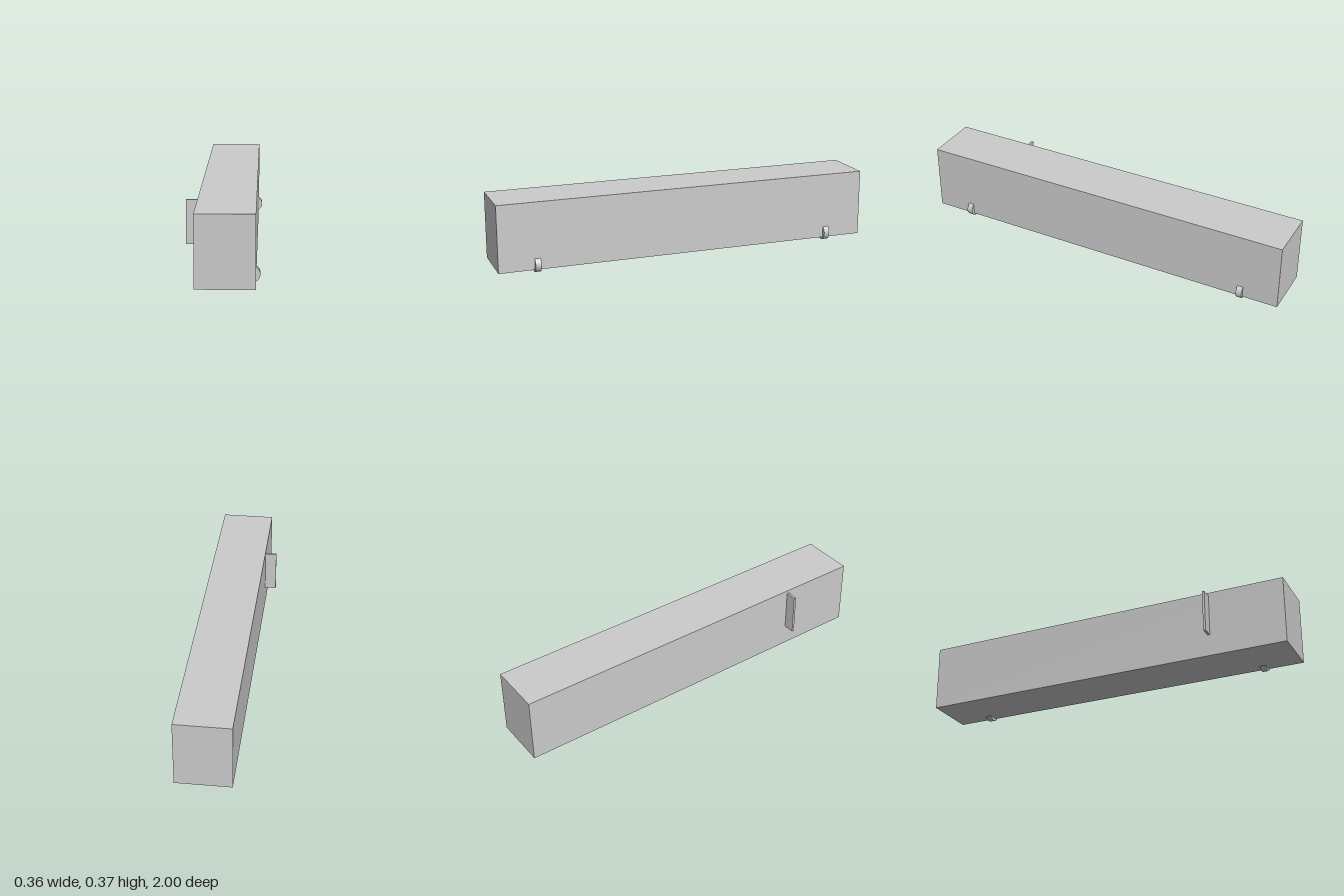
import * as THREE from 'three';

export function createModel() {
  const model = new THREE.Group();
  const grey = new THREE.MeshStandardMaterial({ color: 0xcccccc });

  const add = (name, geometry, x, y, z) => {
    const mesh = new THREE.Mesh(geometry, grey);
    mesh.name = name;
    mesh.position.set(x, y, z);
    model.add(mesh);
    return mesh;
  };

  // Long rectangular body
  add('body', new THREE.BoxGeometry(0.28, 0.35, 2), 0.02, 0.191, 0);

  // Thin upright plate on the side
  add('sidePlate', new THREE.BoxGeometry(0.06, 0.22, 0.012), -0.15, 0.24, 0.6);

  // Pair of short barrels let into the lower edge
  for (const [name, z] of [['frontHinge', 0.8], ['backHinge', -0.8]]) {
    add(name, new THREE.CylinderGeometry(0.04, 0.04, 0.03, 32), 0.14, 0.04, z).rotation.x = Math.PI / 2;
  }

  return model;
}
